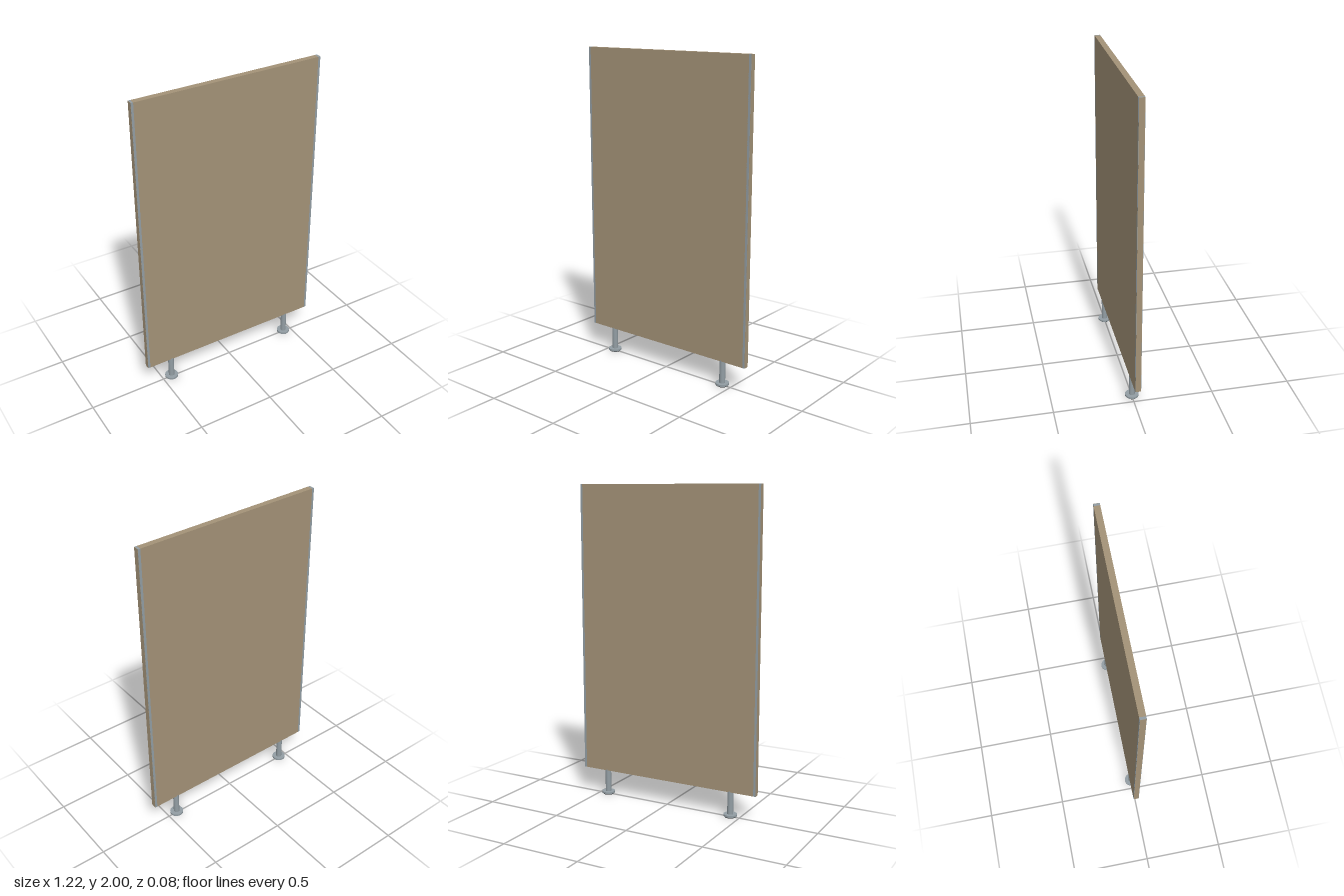
import * as THREE from 'three';

const fabric = new THREE.MeshStandardMaterial({ color: 0xa39277 });
const metal = new THREE.MeshStandardMaterial({ color: 0x929da3 });
const rubber = new THREE.MeshStandardMaterial({ color: 0x3a3c3e });

function add(parent, name, geometry, material, x, y, z) {
  const mesh = new THREE.Mesh(geometry, material);
  mesh.name = name;
  mesh.position.set(x, y, z);
  parent.add(mesh);
  return mesh;
}

export function createModel() {
  const model = new THREE.Group();
  model.name = 'partitionScreen';

  const bottom = 0.16, top = 2, height = top - bottom, midY = (top + bottom) / 2;
  const halfWidth = 0.612, depth = 0.036, trim = 0.015;

  // Main board
  add(model, 'panel', new THREE.BoxGeometry(2 * (halfWidth - trim), height, depth), fabric, 0, midY, 0);

  for (const side of [1, -1]) {
    const name = side > 0 ? 'left' : 'right';

    // Upright metal edge with an inlaid strip on its outer face
    add(model, name + 'EdgeTrim', new THREE.BoxGeometry(trim, height, depth), metal,
      side * (halfWidth - trim / 2 - 0.001), midY, 0);
    add(model, name + 'EdgeInlay', new THREE.BoxGeometry(0.004, height, depth - 0.003), fabric,
      side * (halfWidth - 0.002), midY, 0);

    // Leg: round post on a disc foot
    const leg = new THREE.Group();
    leg.name = name + 'Leg';
    leg.position.x = side * 0.44;
    model.add(leg);
    add(leg, 'post', new THREE.CylinderGeometry(0.0185, 0.0185, 0.148, 32), metal, 0, 0.091, 0);
    add(leg, 'footDisc', new THREE.CylinderGeometry(0.042, 0.042, 0.012, 40), metal, 0, 0.012, 0);
    add(leg, 'footPad', new THREE.CylinderGeometry(0.039, 0.036, 0.006, 40), rubber, 0, 0.003, 0);
  }
  return model;
}
